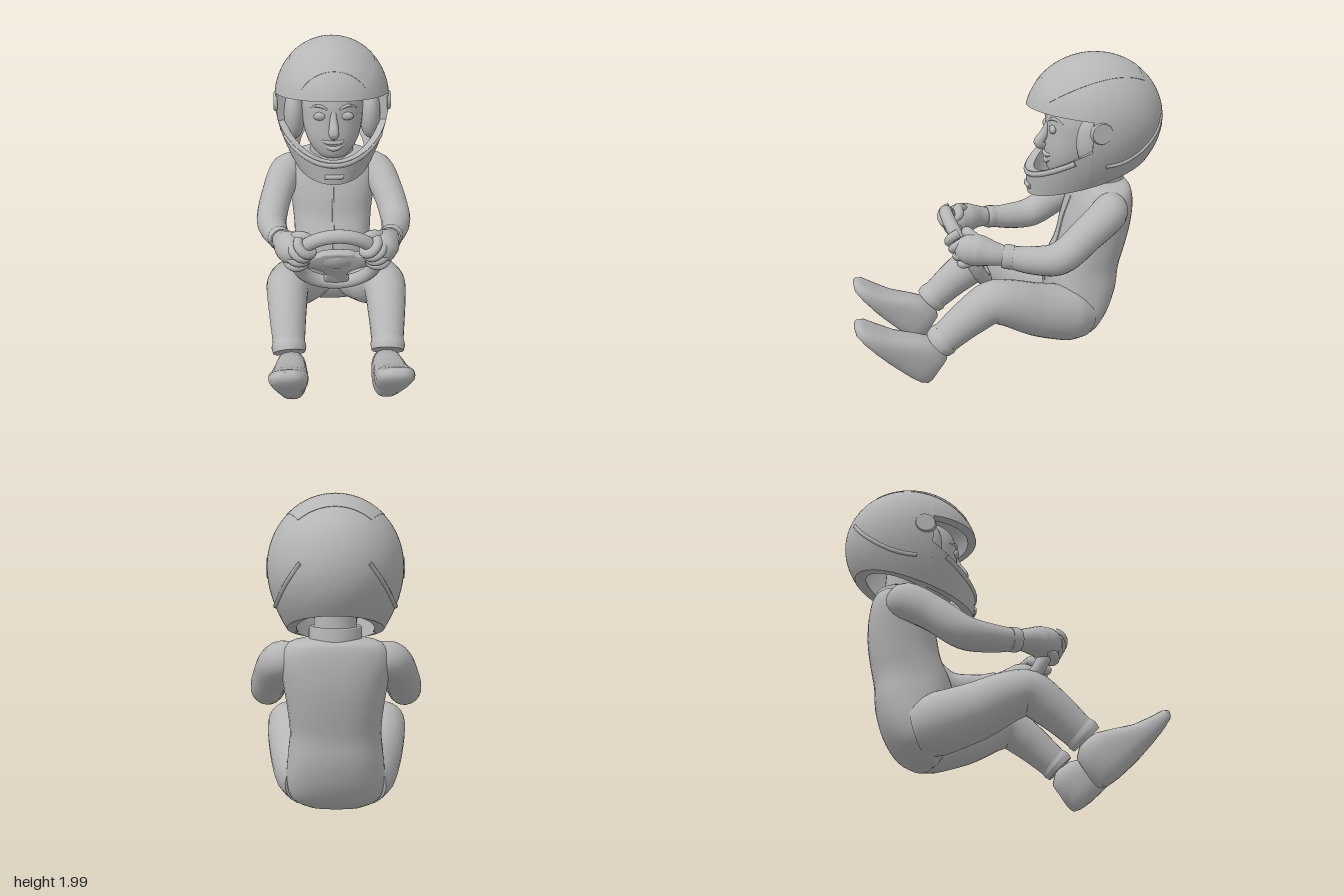
import * as THREE from 'three';
import { toCreasedNormals } from 'three/addons/utils/BufferGeometryUtils.js';

const V = (x, y, z) => new THREE.Vector3(x, y, z);
const grey = new THREE.MeshStandardMaterial({ color: 0xb6b6b6, side: THREE.DoubleSide });
grey.name = 'plain grey';

function part(parent, name, geometry) {
  const mesh = new THREE.Mesh(geometry, grey);
  mesh.name = name;
  parent.add(mesh);
  return mesh;
}

// Skin through a list of equal rings, closed at both ends, facing outwards
function loft(rings, crease = 0.9) {
  const n = rings[0].length, pts = rings.flat(), idx = [];
  const quad = (a, b, c, d) => idx.push(a, b, c, a, c, d);
  for (let i = 0; i < rings.length - 1; i++)
    for (let j = 0; j < n; j++) {
      const k = (j + 1) % n;
      quad(i * n + j, i * n + k, (i + 1) * n + k, (i + 1) * n + j);
    }
  const last = (rings.length - 1) * n;
  for (let j = 0; j < n / 2 - 1; j++) {
    quad(n - 1 - j, n - 2 - j, j + 1, j);
    quad(last + j, last + j + 1, last + n - 2 - j, last + n - 1 - j);
  }
  const mid = pts.reduce((s, p) => s.add(p), V(0, 0, 0)).divideScalar(pts.length);
  let volume = 0;
  for (let i = 0; i < idx.length; i += 3) {
    const [a, b, c] = [0, 1, 2].map((k) => pts[idx[i + k]].clone().sub(mid));
    volume += a.dot(b.cross(c));
  }
  if (volume < 0) idx.reverse();
  const g = new THREE.BufferGeometry().setFromPoints(pts);
  g.setIndex(idx);
  return toCreasedNormals(g, crease);
}

// Round tube of changing radius through points [x, y, z, r]
function limb(points, steps = 24, sides = 20) {
  const curve = new THREE.CatmullRomCurve3(points.map((p) => V(p[0], p[1], p[2])));
  const { normals, binormals } = curve.computeFrenetFrames(steps);
  const rings = [];
  for (let i = 0; i <= steps; i++) {
    const c = curve.getPointAt(i / steps);
    const t = curve.getUtoTmapping(i / steps) * (points.length - 1);
    const k = Math.min(Math.floor(t), points.length - 2);
    const r = THREE.MathUtils.lerp(points[k][3], points[k + 1][3], t - k);
    rings.push(Array.from({ length: sides }, (_, j) => {
      const a = (j / sides) * Math.PI * 2;
      return c.clone().addScaledVector(normals[i], r * Math.cos(a)).addScaledVector(binormals[i], r * Math.sin(a));
    }));
  }
  return loft(rings);
}

// Stacked rounded sections [y, z, half width, half depth], eased between
function body(sections, power, n = 36) {
  const ease = (i) => new THREE.SplineCurve(sections.map((s, k) => new THREE.Vector2(k, s[i])));
  const curves = [0, 1, 2, 3].map(ease), rings = [];
  for (let i = 0; i <= 36; i++) {
    const [y, z, w, d] = curves.map((c) => c.getPoint(i / 36).y);
    rings.push(Array.from({ length: n }, (_, j) => {
      const a = (j / n) * Math.PI * 2, c = Math.cos(a), s = Math.sin(a), e = 2 / power;
      return V(w * Math.sign(c) * Math.abs(c) ** e, y, z + d * Math.sign(s) * Math.abs(s) ** e);
    }));
  }
  return loft(rings);
}

// Point on the helmet at an azimuth (0 = front) and height; k < 1 lies inside
function helmetPoint(a, y, k = 1) {
  const c = Math.cos(a), up = y > 1.6;
  const u = up ? 0 : (1.6 - y) / (0.35 + 0.115 * c);
  const s = up ? Math.sqrt(Math.max(0, 1 - ((y - 1.6) / 0.4) ** 2)) : 1;
  const x = 0.38 * s * (1 - 0.28 * u * u) * Math.sin(a);
  const z = 0.43 * s * (1 - (c > 0 ? 0.05 : 0.18) * u * u) * c;
  return V(x * k, up ? 1.6 + (y - 1.6) * k : y, -0.55 + z * k);
}

// Thick helmet wall between two azimuths; heights(a) lists y from top to bottom
function helmetWall(a0, a1, k, heights, steps = 40) {
  const rings = [];
  for (let i = 0; i <= steps; i++) {
    const a = a0 + ((a1 - a0) * i) / steps, ys = heights(a);
    rings.push([...ys.map((y) => helmetPoint(a, y)), ...ys.map((y) => helmetPoint(a, y, k)).reverse()]);
  }
  return loft(rings, 0.7);
}
const span = (n, f) => Array.from({ length: n + 1 }, (_, i) => f(i / n));
const bottom = (a) => 1.25 - 0.115 * Math.cos(a);

function buildHelmet(g) {
  const E = 1.33;
  part(g, 'helmetBrow', helmetWall(-E, E, 0.87, (a) => {
    const end = Math.acos((0.045 + 0.045 * Math.cos(a)) / 0.4);
    return span(16, (t) => 1.6 + 0.4 * Math.cos(end * t));
  }));
  part(g, 'helmetBack', helmetWall(E, Math.PI * 2 - E, 0.8, (a) => [
    ...span(16, (t) => 1.6 + 0.4 * Math.cos((Math.PI / 2) * t)),
    ...span(8, (t) => 1.6 + (bottom(a) - 1.6) * t).slice(1)]));
  part(g, 'helmetChinBar', helmetWall(-E, E, 0.87, (a) => {
    const top = 1.53 - 0.24 * Math.cos(a);
    return span(8, (t) => top + (bottom(a) - top) * t);
  }));
  // Slightly raised panel over the crown
  part(g, 'helmetCrownPanel', loft(span(20, (t) => {
    const z = -0.25 + 0.58 * t, free = 1 - (z / 0.43) ** 2;
    const w = 0.38 * Math.sqrt(free) * (0.62 + 0.2 * t);
    const row = (k) => span(16, (u) => {
      const x = w * (2 * u - 1);
      return V(x * k, 1.6 + 0.4 * k * Math.sqrt(free - (x / 0.38) ** 2), -0.55 + z * k);
    });
    return [...row(1.006), ...row(0.985).reverse()];
  }), 0.6));
  // Chin vent and lip
  part(g, 'chinVent', limb([-0.2, -0.1, 0, 0.1, 0.2].map((a) => [...helmetPoint(a, 1.19).toArray(), 0.016]), 12, 10));
  part(g, 'chinLip', limb(span(8, (t) => {
    const a = -1.1 + 2.2 * t;
    return [...helmetPoint(a, 1.51 - 0.24 * Math.cos(a), 0.985).toArray(), 0.018];
  }), 30, 10));
}

function buildFace(g) {
  part(g, 'head', body([[1.24, -0.42, 0.05, 0.06], [1.27, -0.41, 0.1, 0.13], [1.34, -0.43, 0.155, 0.175],
    [1.42, -0.45, 0.185, 0.2], [1.52, -0.47, 0.2, 0.215], [1.62, -0.48, 0.2, 0.22],
    [1.72, -0.49, 0.17, 0.19], [1.79, -0.5, 0.07, 0.07]], 2.2));
  part(g, 'nose', limb([[0, 1.58, -0.265, 0.016], [0, 1.51, -0.24, 0.028], [0, 1.455, -0.21, 0.036], [0, 1.43, -0.235, 0.026]], 14, 14));
  part(g, 'upperLip', limb([[-0.09, 1.4, -0.285, 0.006], [-0.045, 1.385, -0.255, 0.013], [0, 1.383, -0.248, 0.014], [0.045, 1.385, -0.255, 0.013], [0.09, 1.4, -0.285, 0.006]], 16, 10));
  part(g, 'lowerLip', limb([[-0.085, 1.395, -0.285, 0.006], [-0.045, 1.355, -0.265, 0.013], [0, 1.34, -0.252, 0.016], [0.045, 1.355, -0.265, 0.013], [0.085, 1.395, -0.285, 0.006]], 16, 10));
}

const TILT = 0.495, WHEEL = V(0, 0.8, 0.26), R = 0.25;

function buildWheel(g) {
  const wheel = new THREE.Group();
  wheel.name = 'steeringWheel';
  wheel.position.copy(WHEEL);
  wheel.rotation.x = TILT;
  g.add(wheel);
  part(wheel, 'wheelRim', new THREE.TorusGeometry(R, 0.042, 18, 56));
  // Hub plate with two side spokes and a lower spoke
  const s = new THREE.Shape();
  s.moveTo(-0.24, 0.07);
  s.quadraticCurveTo(-0.12, 0.03, -0.09, 0.07);
  s.quadraticCurveTo(0, 0.09, 0.09, 0.07);
  s.quadraticCurveTo(0.12, 0.03, 0.24, 0.07);
  s.lineTo(0.24, -0.03);
  s.quadraticCurveTo(0.08, -0.05, 0.05, -0.14);
  s.lineTo(0.08, -0.24);
  s.lineTo(-0.08, -0.24);
  s.lineTo(-0.05, -0.14);
  s.quadraticCurveTo(-0.08, -0.05, -0.24, -0.03);
  const plate = new THREE.ExtrudeGeometry(s, { depth: 0.025, bevelSize: 0.012, bevelThickness: 0.012, bevelSegments: 3, curveSegments: 10 });
  part(wheel, 'wheelSpokes', toCreasedNormals(plate.translate(0, 0, -0.0125), 0.8));
  part(wheel, 'wheelHub', new THREE.SphereGeometry(1, 24, 16).scale(0.11, 0.075, 0.04));
}

// Everything that comes in pairs, built on the +x side
function buildSide() {
  const g = new THREE.Group();
  part(g, 'sleeve', limb([[0.18, 1.09, -0.62, 0.09], [0.3, 1.075, -0.585, 0.115], [0.375, 0.97, -0.43, 0.105],
    [0.415, 0.845, -0.25, 0.1], [0.39, 0.835, -0.09, 0.085], [0.35, 0.855, 0.06, 0.066]], 32));
  part(g, 'sleeveCuff', limb([[0.362, 0.85, 0.02, 0.074], [0.35, 0.855, 0.06, 0.076], [0.344, 0.858, 0.08, 0.07]], 6));
  part(g, 'hand', limb([[0.35, 0.855, 0.05, 0.055], [0.325, 0.87, 0.14, 0.075], [0.295, 0.88, 0.21, 0.096],
    [0.27, 0.885, 0.28, 0.095], [0.25, 0.885, 0.33, 0.065], [0.24, 0.885, 0.35, 0.03]], 24));
  const onWheel = (phi, psi, r) => {
    const d = R + r * Math.cos(psi);
    return V(d * Math.cos(phi), d * Math.sin(phi), r * Math.sin(psi)).applyAxisAngle(V(1, 0, 0), TILT).add(WHEEL).toArray();
  };
  for (let k = 0; k < 4; k++)
    part(g, 'finger', limb(span(6, (t) => [...onWheel(0.08 + 0.2 * k, -0.4 + 3.7 * t, 0.058), t === 1 ? 0.016 : 0.029]), 16, 12));
  part(g, 'thumb', limb([[0.3, 0.92, 0.2, 0.035], [...onWheel(0.65, -1.3, 0.07), 0.034], [...onWheel(0.72, -2.2, 0.068), 0.03], [...onWheel(0.75, -2.9, 0.062), 0.014]], 14, 12));

  part(g, 'trouserLeg', limb([[0.14, 0.34, -0.46, 0.17], [0.185, 0.365, -0.36, 0.185], [0.245, 0.43, -0.16, 0.17],
    [0.3, 0.52, 0.04, 0.145], [0.312, 0.54, 0.14, 0.135], [0.312, 0.46, 0.27, 0.12], [0.305, 0.29, 0.47, 0.095]], 40, 24));
  part(g, 'trouserCuff', limb([[0.307, 0.325, 0.43, 0.1], [0.306, 0.305, 0.455, 0.108], [0.304, 0.28, 0.48, 0.1]], 8, 24));

  // Shoe sections [along sole, sole height, instep height, half width]
  const shoe = [[-0.01, 0, 0.08, 0.04], [0.03, -0.02, 0.22, 0.075], [0.1, -0.035, 0.255, 0.09], [0.2, -0.045, 0.235, 0.095],
    [0.28, -0.05, 0.185, 0.1], [0.38, -0.05, 0.115, 0.11], [0.49, -0.045, 0.068, 0.113], [0.57, -0.035, 0.042, 0.095], [0.61, -0.012, 0.02, 0.045]];
  part(g, 'shoe', loft(shoe.map(([s, lo, hi, w]) => Array.from({ length: 28 }, (_, j) => {
    const a = (j / 28) * Math.PI * 2, c = Math.cos(a), q = Math.sin(a);
    const n = (lo + hi) / 2 + ((hi - lo) / 2) * Math.sign(q) * Math.abs(q) ** 0.75;
    return V(0.285 + 0.04 * s + w * Math.sign(c) * Math.abs(c) ** 0.75, 0.015 + 0.74 * s + 0.67 * n, 0.57 + 0.67 * s - 0.74 * n);
  })), 1.1));

  part(g, 'eye', new THREE.SphereGeometry(1, 18, 12).scale(0.04, 0.027, 0.02).translate(0.088, 1.555, -0.272));
  part(g, 'eyebrow', limb([[0.035, 1.6, -0.262, 0.007], [0.09, 1.622, -0.275, 0.011], [0.15, 1.6, -0.325, 0.006]], 10, 8));
  part(g, 'cheekPad', new THREE.SphereGeometry(1, 18, 14).scale(0.07, 0.17, 0.1).translate(0.25, 1.51, -0.48));
  part(g, 'visorHinge', new THREE.CylinderGeometry(0.06, 0.07, 0.025, 24).rotateZ(-Math.PI / 2).translate(0.372, 1.59, -0.5));
  part(g, 'helmetRidge', limb(span(6, (t) => [...helmetPoint(1.55 + 1.1 * t, 1.38 + 0.26 * t * t, 0.995).toArray(), 0.013]), 18, 8));
  return g;
}

export function createModel() {
  const model = new THREE.Group();
  model.name = 'seatedDriver';
  buildHelmet(model);
  buildFace(model);
  buildWheel(model);

  // Suit body, collar and zip
  part(model, 'torso', body([[1.215, -0.62, 0.13, 0.12], [1.185, -0.625, 0.26, 0.155], [1.09, -0.61, 0.31, 0.187], [0.95, -0.585, 0.295, 0.21],
    [0.8, -0.555, 0.275, 0.215], [0.65, -0.505, 0.265, 0.232], [0.5, -0.49, 0.28, 0.23], [0.35, -0.47, 0.29, 0.2],
    [0.23, -0.45, 0.26, 0.14], [0.165, -0.43, 0.16, 0.06]], 2.4));
  part(model, 'neck', new THREE.CylinderGeometry(0.115, 0.125, 0.3, 28).translate(0, 1.3, -0.59));
  const collar = [[0.15, 0], [0.148, 0.11], [0.135, 0.12], [0.12, 0.1]].map((p) => new THREE.Vector2(...p));
  part(model, 'collar', new THREE.LatheGeometry(collar, 32)).position.set(0, 1.16, -0.61);
  part(model, 'zip', limb([[0, 1.09, -0.424, 0.007], [0, 0.95, -0.376, 0.007], [0, 0.8, -0.341, 0.007], [0, 0.65, -0.274, 0.007], [0, 0.52, -0.261, 0.007]], 20, 8));

  const left = buildSide();
  left.name = 'leftSide';
  const right = left.clone();
  right.name = 'rightSide';
  right.scale.x = -1;
  model.add(left, right);
  return model;
}
